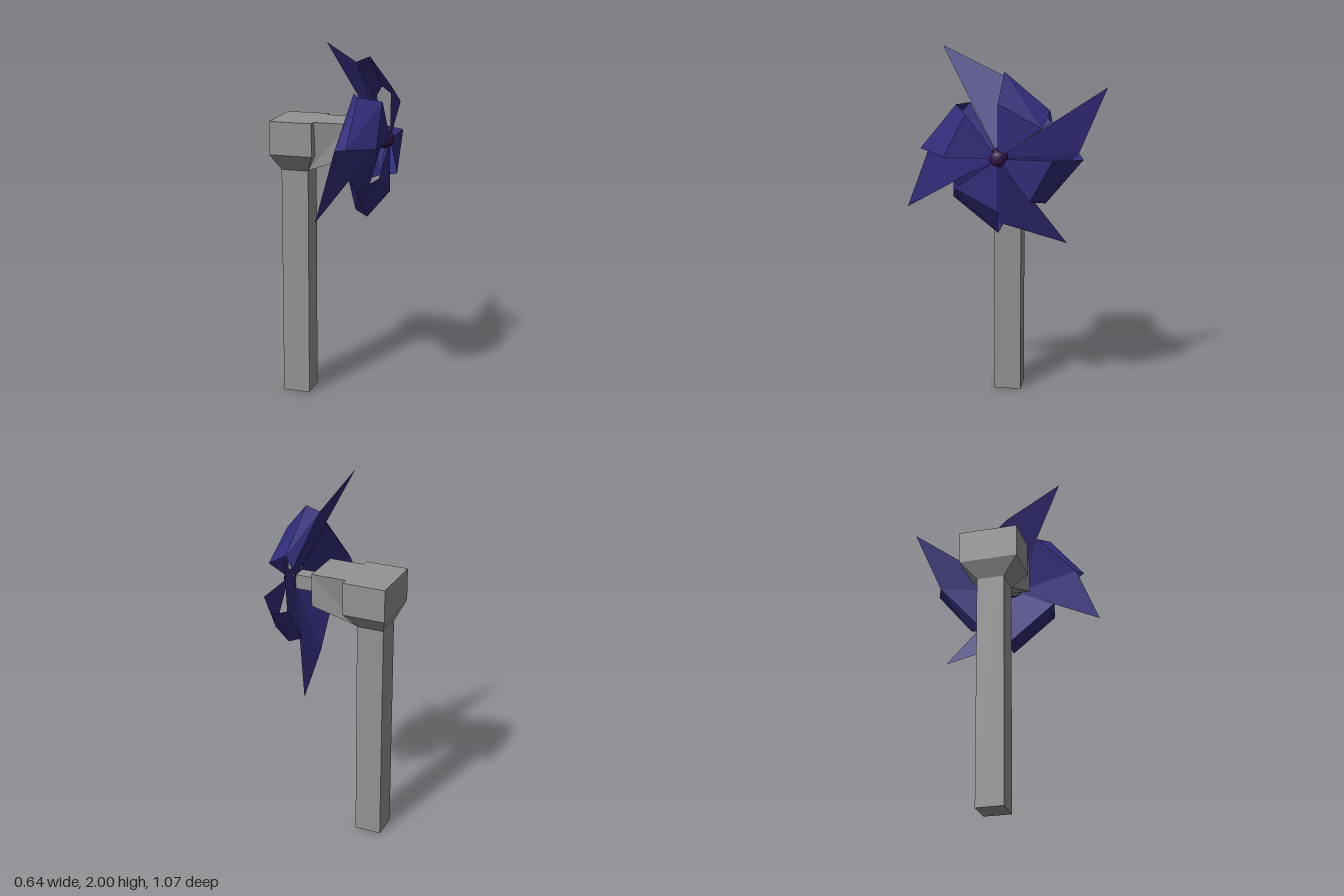
import * as THREE from 'three';

const grey = new THREE.MeshStandardMaterial({ color: 0x939393, flatShading: true });
const bladeMat = new THREE.MeshStandardMaterial({ color: 0x322c7a, flatShading: true, side: THREE.DoubleSide });
const hubMat = new THREE.MeshStandardMaterial({ color: 0x341448, flatShading: true });

function addMesh(parent, name, geometry, material) {
  const mesh = new THREE.Mesh(geometry, material);
  mesh.name = name;
  parent.add(mesh);
  return mesh;
}

// Box given by its limits on each axis
function boxBetween([x0, x1], [y0, y1], [z0, z1]) {
  return new THREE.BoxGeometry(x1 - x0, y1 - y0, z1 - z0)
    .translate((x0 + x1) / 2, (y0 + y1) / 2, (z0 + z1) / 2);
}

// Side outline in x and y, extruded from z0 to z1
function slab(points, z0, z1) {
  const shape = new THREE.Shape(points.map(([x, y]) => new THREE.Vector2(x, y)));
  return new THREE.ExtrudeGeometry(shape, { depth: z1 - z0, bevelEnabled: false }).translate(0, 0, z0);
}

// Draws the lowest corners in to the top of the post
function narrowFoot(geometry) {
  const p = geometry.attributes.position;
  for (let i = 0; i < p.count; i++) {
    if (p.getY(i) > 1.3) continue;
    p.setX(i, p.getX(i) < -0.2 ? -0.28 : -0.13);
    p.setZ(i, p.getZ(i) < 0 ? -0.062 : 0.088);
  }
  geometry.computeVertexNormals();
  return geometry;
}

// Curled paper blade: a flat back sheet, two folds, and a front flap back to the hub
function bladeGeometry(tipY, tipZ) {
  const back = [0.26, 0, 0], front = [0.298, 0, 0];
  const tip = [0.05, tipY, tipZ];
  const near = [[0.11, 0.4, 0], [0.18, 0.43, -0.017], [0.3, 0.285, 0]];
  const far = [[0.145, 0.167, -0.262], [0.185, 0.236, -0.256], [0.298, 0.165, -0.225]];
  const tris = [[back, tip, near[0]], [back, near[0], far[0]]];
  for (let i = 0; i < 2; i++) {
    tris.push([near[i], near[i + 1], far[i + 1]], [near[i], far[i + 1], far[i]]);
  }
  tris.push([near[2], front, far[2]]);
  const geometry = new THREE.BufferGeometry();
  geometry.setAttribute('position', new THREE.Float32BufferAttribute(tris.flat(2), 3));
  geometry.computeVertexNormals();
  return geometry;
}

export function createModel() {
  const model = new THREE.Group();
  model.name = 'windmill';

  // Square post, housing on top, and the tapered collar between them
  addMesh(model, 'post', boxBetween([-0.28, -0.13], [0, 1.28], [-0.062, 0.088]), grey);
  addMesh(model, 'housing', boxBetween([-0.32, -0.085], [1.37, 1.55], [-0.15, 0.17]), grey);
  addMesh(model, 'collar', narrowFoot(boxBetween([-0.32, -0.085], [1.275, 1.37], [-0.15, 0.17])), grey);

  // Arm with sloping underside, and the axle carrying the wheel
  const armOutline = [[-0.13, 1.278], [0.11, 1.37], [0.11, 1.55], [-0.13, 1.55]];
  addMesh(model, 'arm', narrowFoot(slab(armOutline, -0.11, 0.13)), grey);
  addMesh(model, 'axle', boxBetween([0.1, 0.235], [1.42, 1.5], [-0.04, 0.04]), grey);

  // Four blades around the hub, with slightly uneven tips
  const wheel = new THREE.Group();
  wheel.name = 'wheel';
  wheel.position.y = 1.459;
  const tips = [[0.541, 0.326], [0.535, 0.34], [0.51, 0.337], [0.539, 0.341]];
  tips.forEach(([y, z], i) => {
    addMesh(wheel, 'blade', bladeGeometry(y, z), bladeMat).rotation.x = i * Math.PI / 2;
  });
  addMesh(wheel, 'hub', new THREE.SphereGeometry(0.052, 10, 8).rotateZ(Math.PI / 2), hubMat).position.x = 0.268;
  model.add(wheel);
  return model;
}
